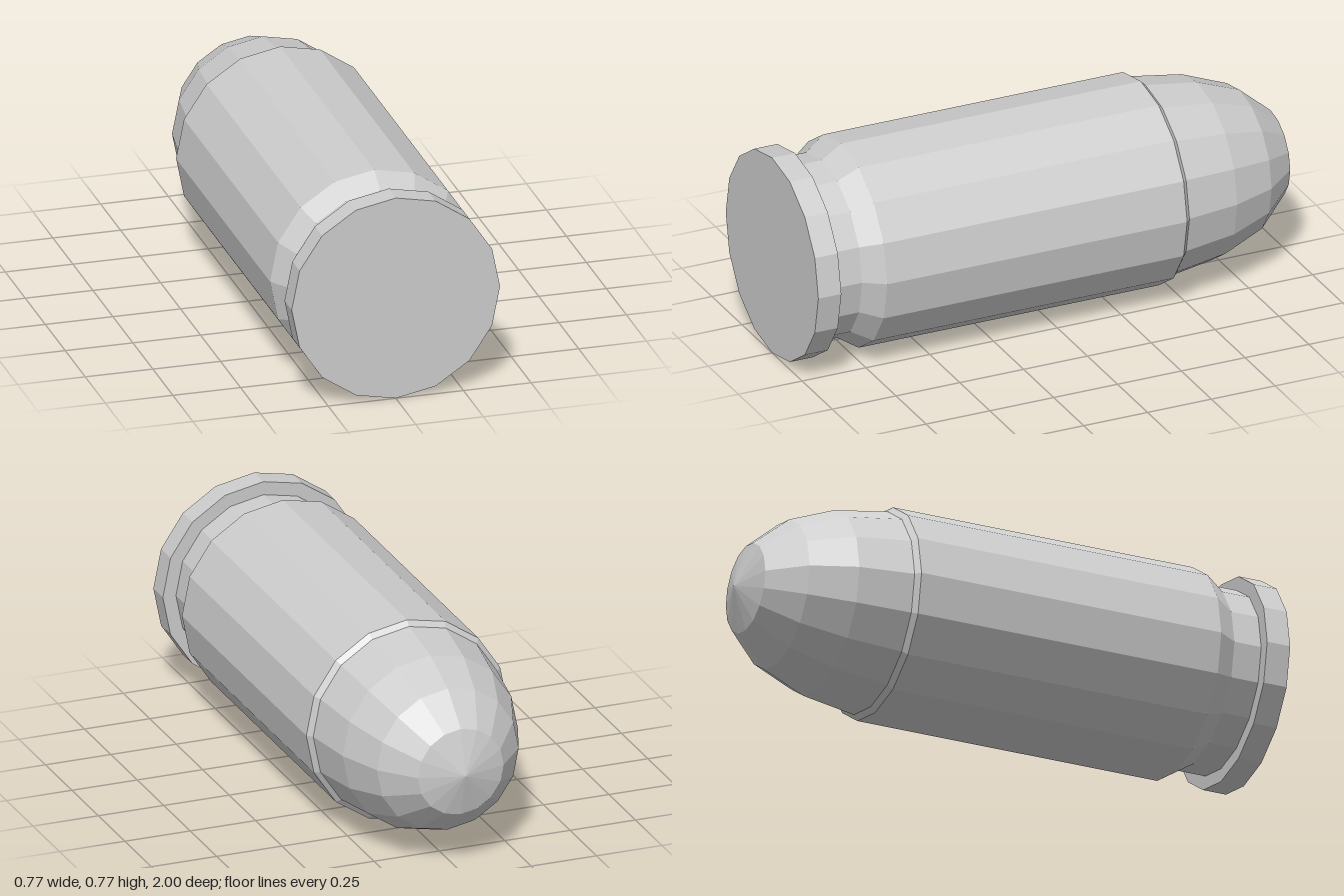
import * as THREE from 'three';

const SIDES = 16;
const RADIUS = 0.385;

// Faceted solid of revolution about z; profile is [radius, z] from front to back
function turned(name, profile, material) {
  const points = profile.map(([r, z]) => new THREE.Vector2(r, -z));
  const geometry = new THREE.LatheGeometry(points, SIDES).toNonIndexed();
  geometry.rotateX(-Math.PI / 2);
  geometry.computeVertexNormals(); // one normal per facet
  const mesh = new THREE.Mesh(geometry, material);
  mesh.name = name;
  mesh.position.y = RADIUS;
  return mesh;
}

export function createModel() {
  const metal = new THREE.MeshStandardMaterial({ color: 0xcccccc });
  metal.name = 'grey metal';

  const group = new THREE.Group();
  group.name = 'cartridge';
  group.add(
    // flat base disc with its rim
    turned('baseRim', [[0, 1], [RADIUS, 1], [RADIUS, 0.91], [0.335, 0.91]], metal),
    // narrow groove, flaring out to the straight casing and its bevelled mouth
    turned('casing', [[0.335, 0.91], [0.335, 0.805], [RADIUS, 0.73], [RADIUS, -0.445], [0.366, -0.463]], metal),
    // rounded nose
    turned('nose', [[0.366, -0.463], [0.335, -0.665], [0.271, -0.83], [0.164, -0.953], [0, -1]], metal)
  );
  return group;
}
